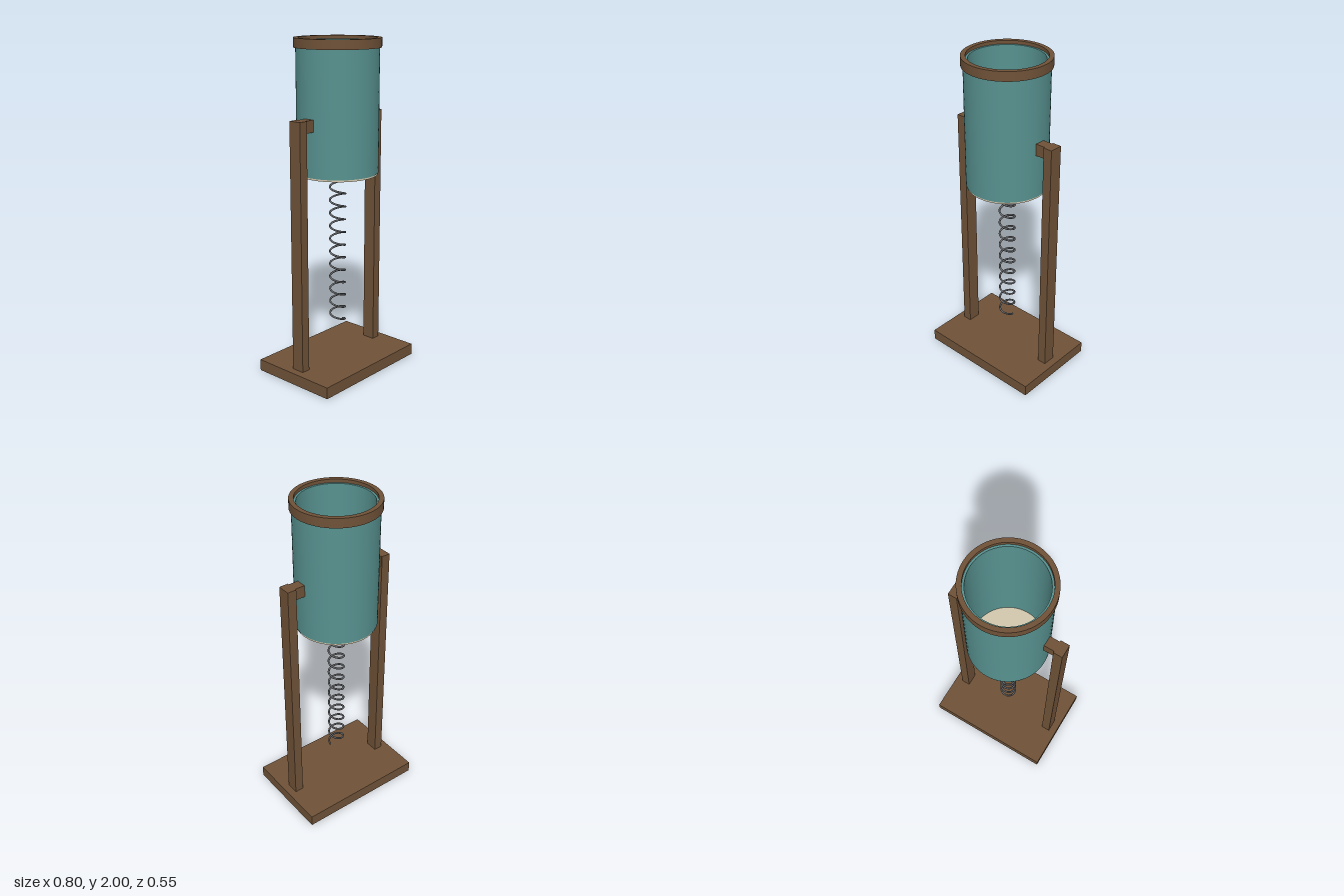
import * as THREE from 'three';
import { toCreasedNormals } from 'three/addons/utils/BufferGeometryUtils.js';

const material = (name, color) => {
  const m = new THREE.MeshStandardMaterial({ color });
  m.name = name;
  return m;
};

export function createModel() {
  const wood = material('brown wood', 0x6f5238);
  const teal = material('teal shell', 0x579290);
  const skin = material('cream skin', 0xd3c7ad);
  const steel = material('grey steel', 0x66676a);

  const model = new THREE.Group();
  model.name = 'springDrum';

  const add = (name, geometry, mat, x = 0, y = 0, z = 0) => {
    const mesh = new THREE.Mesh(geometry, mat);
    mesh.name = name;
    mesh.position.set(x, y, z);
    model.add(mesh);
  };
  // Box standing on height y0
  const box = (name, w, y0, y1, d, x = 0) =>
    add(name, new THREE.BoxGeometry(w, y1 - y0, d), wood, x, (y0 + y1) / 2);
  // Hollow ring with square edges
  const ring = (inner, outer, y0, y1) => {
    const profile = [[inner, y0], [outer, y0], [outer, y1], [inner, y1], [inner, y0]]
      .map(([r, y]) => new THREE.Vector2(r, y));
    return toCreasedNormals(new THREE.LatheGeometry(profile, 64), 0.6);
  };

  // Stand: base, two posts and the arms that hold the drum
  box('base', 0.8, 0, 0.07, 0.554);
  for (const side of [1, -1]) {
    const label = side > 0 ? 'left' : 'right';
    box(label + 'Post', 0.055, 0.07, 1.56, 0.08, side * 0.3265);
    box(label + 'Arm', 0.07, 1.49, 1.56, 0.062, side * 0.266);
  }

  // Drum: open tube, rim at the top, skin across the bottom
  add('drumShell', ring(0.213, 0.24, 1.225, 1.98), teal);
  add('drumRim', ring(0.225, 0.252, 1.945, 2), wood);
  add('drumSkin', new THREE.CylinderGeometry(0.237, 0.237, 0.014, 64), skin, 0, 1.221);

  // Coil spring hanging from the skin
  const turns = 11.75, radius = 0.046, bottom = 0.282, top = 1.22;
  class Helix extends THREE.Curve {
    getPoint(t, target = new THREE.Vector3()) {
      const a = t * turns * Math.PI * 2;
      return target.set(Math.cos(a) * radius, bottom + t * (top - bottom), Math.sin(a) * radius);
    }
  }
  add('spring', new THREE.TubeGeometry(new Helix(), 360, 0.006, 8), steel);
  // Cut end of the wire
  const end = new THREE.CircleGeometry(0.006, 8);
  end.rotateY(Math.PI);
  add('springEnd', end, steel, radius, bottom, 0);

  return model;
}
